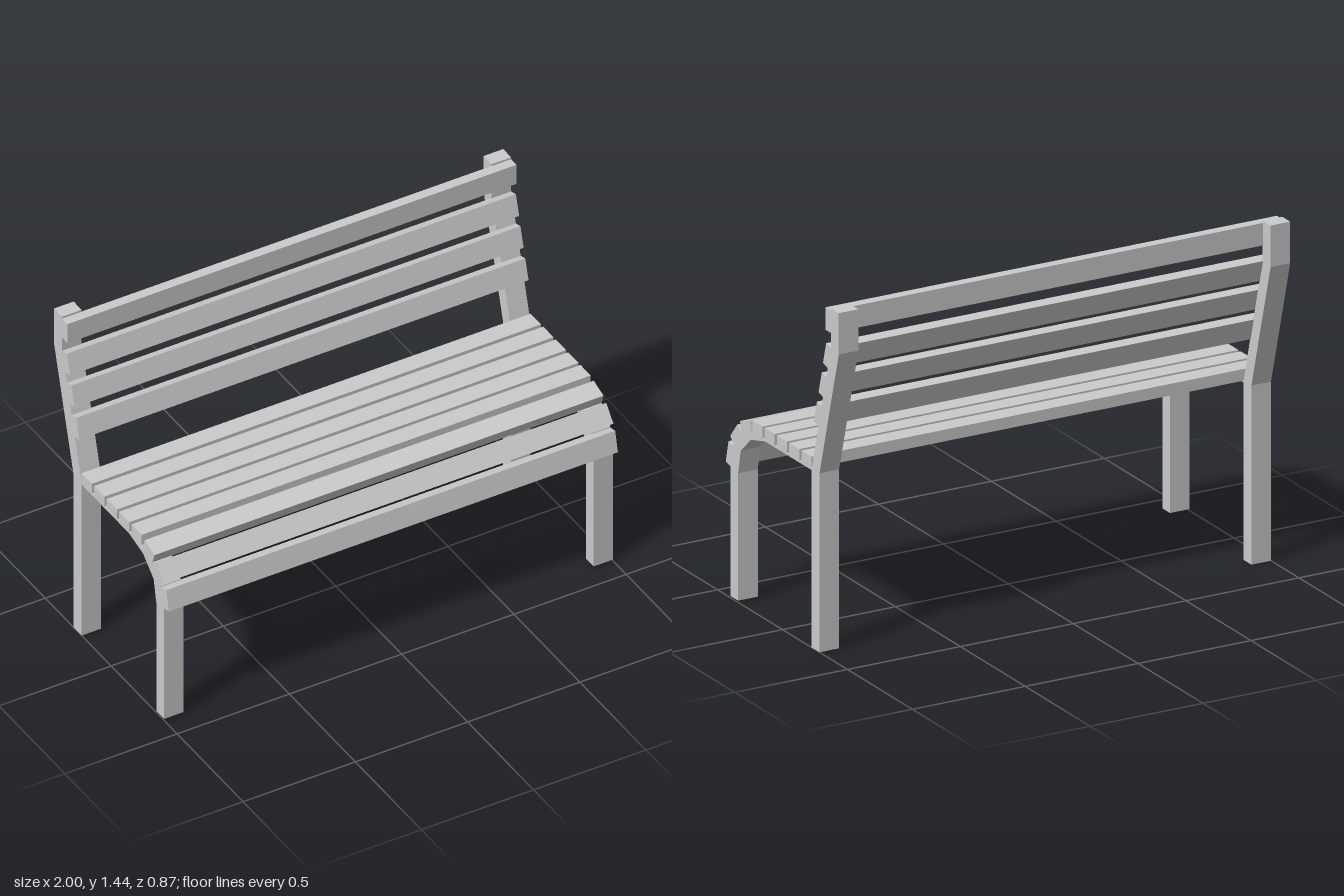
import * as THREE from 'three';

const material = new THREE.MeshStandardMaterial({ color: 0xcccccc, flatShading: true });
const LEG_WIDTH = 0.087;

// Side profiles as [z, y] points
const rearPost = [
  [-0.285, 0], [-0.224, 0], [-0.224, 0.735], [-0.372, 1.275],
  [-0.372, 1.44], [-0.433, 1.44], [-0.433, 1.27], [-0.285, 0.735],
];
const frontLeg = [
  [0.342, 0.007], [0.401, 0.007], [0.401, 0.54], [0.379, 0.634], [0.322, 0.7],
  [0.242, 0.73], [0.19, 0.736], [-0.224, 0.736], [-0.224, 0.728], [0.135, 0.728],
  [0.242, 0.7], [0.322, 0.63], [0.342, 0.53],
];

// Slats: centre z, centre y, width, thickness, tilt in degrees (front edge down)
const seatSlats = [
  [-0.185, 0.759, 0.078, 0.048, 0],
  [-0.09, 0.759, 0.078, 0.048, 0],
  [0.005, 0.759, 0.078, 0.048, 0],
  [0.099, 0.759, 0.078, 0.048, 0],
  [0.192, 0.759, 0.078, 0.048, 0],
  [0.284, 0.739, 0.078, 0.046, 18],
  [0.36, 0.682, 0.085, 0.042, 50],
  [0.406, 0.588, 0.092, 0.043, 77],
];
const backSlats = [
  [-0.272, 0.973, 0.092, 0.04, 74.5],
  [-0.307, 1.105, 0.092, 0.036, 74.5],
  [-0.343, 1.236, 0.092, 0.04, 74.5],
  [-0.352, 1.385, 0.092, 0.042, 90],
];

function createModel() {
  const group = new THREE.Group();

  function addProfile(name, points, outerX) {
    const shape = new THREE.Shape(points.map(([z, y]) => new THREE.Vector2(z, y)));
    const geometry = new THREE.ExtrudeGeometry(shape, { depth: LEG_WIDTH, bevelEnabled: false });
    geometry.rotateY(-Math.PI / 2); // profile into the z-y plane, depth along -x
    const mesh = new THREE.Mesh(geometry, material);
    mesh.position.x = outerX;
    mesh.name = name;
    group.add(mesh);
  }

  function addSlats(name, slats) {
    slats.forEach(([z, y, width, thickness, tilt], i) => {
      const mesh = new THREE.Mesh(new THREE.BoxGeometry(2, thickness, width), material);
      mesh.position.set(0, y, z);
      mesh.rotation.x = THREE.MathUtils.degToRad(tilt);
      mesh.name = `${name}${i + 1}`;
      group.add(mesh);
    });
  }

  // Bent end frames, one at each side
  for (const [side, x] of [['left', 1], ['right', -1 + LEG_WIDTH]]) {
    addProfile(`${side}RearPost`, rearPost, x);
    addProfile(`${side}FrontLeg`, frontLeg, x);
  }

  // Seat curling over the front edge, and the backrest
  addSlats('seatSlat', seatSlats);
  addSlats('backSlat', backSlats);
  return group;
}

export { createModel };
